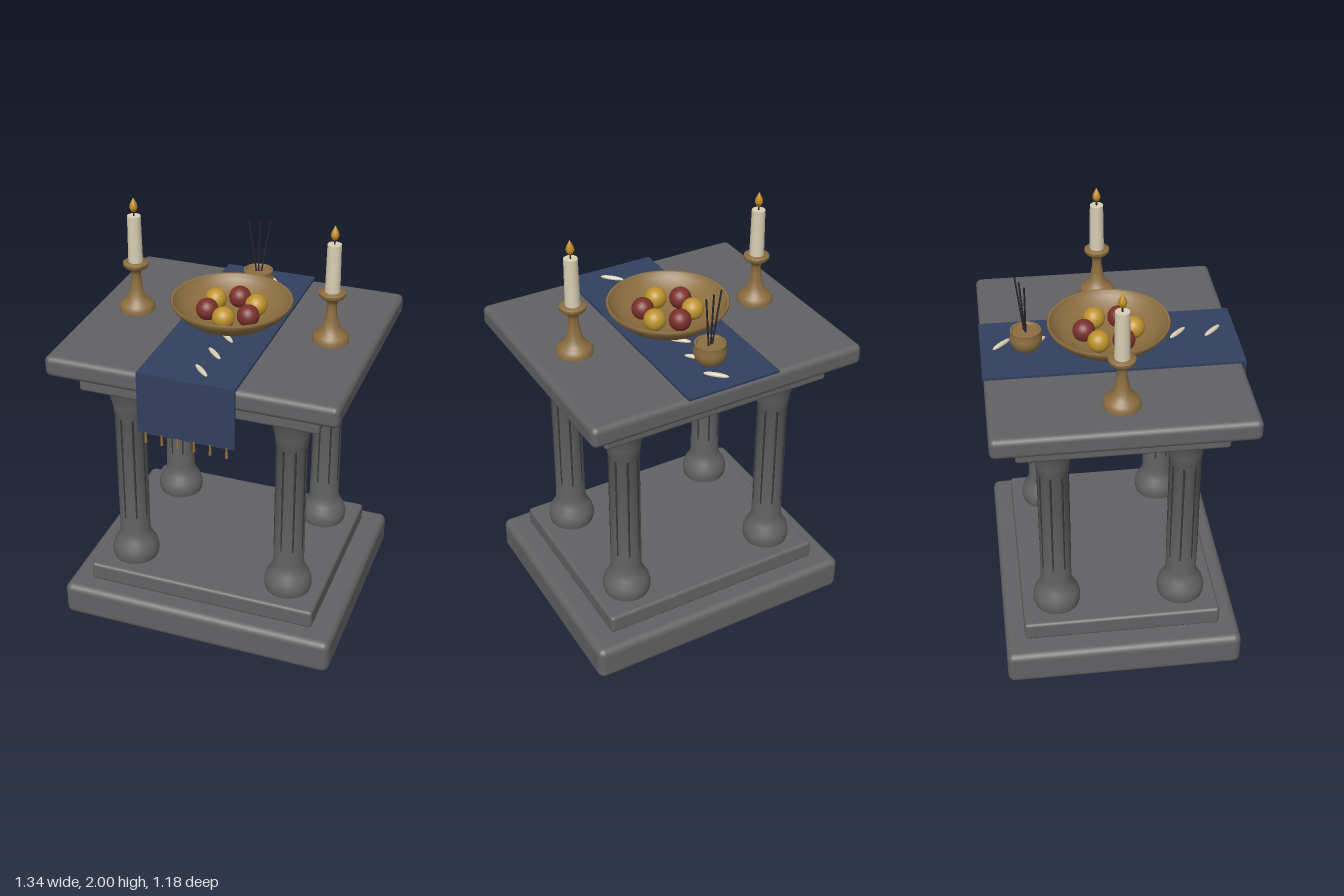
import * as THREE from 'three';
import { toCreasedNormals } from 'three/addons/utils/BufferGeometryUtils.js';
import { RoundedBoxGeometry } from 'three/addons/geometries/RoundedBoxGeometry.js';

const CENTER_Z = -0.008;

function material(name, color) {
  const m = new THREE.MeshStandardMaterial({ color });
  m.name = name;
  return m;
}

export function createModel() {
  const model = new THREE.Group();
  model.name = 'altar';

  const stone = material('stone grey', 0x626264);
  const groove = material('groove grey', 0x38383b);
  const cloth = material('navy cloth', 0x31405f);
  const bronze = material('bronze', 0x8c6e40);
  const wax = material('ivory wax', 0xd9ceb4);
  const flameGold = material('flame gold', 0xc08a22);
  const red = material('fruit red', 0x7a302b);
  const yellow = material('fruit yellow', 0xbd922c);
  const charcoal = material('charcoal', 0x26262b);

  function add(parent, name, geometry, mat, x = 0, y = 0, z = 0) {
    const mesh = new THREE.Mesh(geometry, mat);
    mesh.name = name;
    mesh.position.set(x, y, z);
    parent.add(mesh);
    return mesh;
  }
  function group(name, x, y, z) {
    const g = new THREE.Group();
    g.name = name;
    g.position.set(x, y, z);
    model.add(g);
    return g;
  }
  // Smooth turned form from [radius, height] pairs, with sharp edges kept
  function turned(points, segments = 32) {
    const lathe = new THREE.LatheGeometry(points.map(([r, y]) => new THREE.Vector2(r, y)), segments);
    return toCreasedNormals(lathe, 0.75);
  }
  // Straight rod between two points
  function rod(parent, name, from, to, radius, mat) {
    const a = new THREE.Vector3(...from), b = new THREE.Vector3(...to);
    const dir = b.clone().sub(a);
    const mesh = add(parent, name, new THREE.CylinderGeometry(radius, radius, dir.length(), 8), mat);
    mesh.position.copy(a).add(b).multiplyScalar(0.5);
    mesh.quaternion.setFromUnitVectors(new THREE.Vector3(0, 1, 0), dir.normalize());
  }

  // Stone slabs: name, width, bottom, top, depth, edge radius
  const slabs = [
    ['basePlinth', 1.34, 0, 0.172, 1.12, 0.035],
    ['upperPlinth', 1.12, 0.172, 0.265, 0.935, 0.016],
    ['topSupport', 1.12, 1.24, 1.35, 0.935, 0.014],
    ['tableTop', 1.34, 1.35, 1.45, 1.155, 0.028],
  ];
  for (const [name, w, y0, y1, d, r] of slabs) {
    add(model, name, new RoundedBoxGeometry(w, y1 - y0, d, 4, r), stone, 0, (y0 + y1) / 2, CENTER_Z);
  }

  // Small round relief on the front of the support
  const relief = add(model, 'frontRelief', new THREE.CylinderGeometry(0.045, 0.045, 0.02, 24), groove, 0, 1.285, 0.465);
  relief.rotation.x = Math.PI / 2;

  // Four fluted columns
  const columnShape = turned([
    [0, 0.26], [0.106, 0.26], [0.113, 0.285], [0.113, 0.31], [0.105, 0.34], [0.087, 0.37],
    [0.077, 0.395], [0.073, 0.42], [0.071, 1.07], [0.074, 1.075], [0.079, 1.12], [0.09, 1.165],
    [0.104, 1.2], [0.112, 1.225], [0.112, 1.245], [0, 1.245],
  ]);
  const fluteShape = new THREE.CylinderGeometry(0.007, 0.007, 0.55, 8);
  for (const x of [-0.392, 0.392]) {
    for (const z of [-0.3, 0.3]) {
      const column = group('column', x, 0, CENTER_Z + z);
      add(column, 'columnShaft', columnShape, stone);
      for (let i = 0; i < 8; i++) {
        const a = (i + 0.3) * Math.PI / 4;
        add(column, 'flute', fluteShape, groove, 0.067 * Math.cos(a), 0.785, 0.067 * Math.sin(a));
      }
    }
  }

  // Runner, front drop and tassels
  add(model, 'runnerTop', new THREE.BoxGeometry(0.448, 0.012, 1.168), cloth, 0, 1.456, -0.006);
  add(model, 'runnerDrop', new THREE.BoxGeometry(0.448, 0.297, 0.01), cloth, 0, 1.3135, 0.577);
  for (let i = 0; i < 6; i++) {
    add(model, 'tassel', new THREE.CylinderGeometry(0.005, 0.007, 0.05, 8), bronze, (i - 2.5) * 0.075, 1.145, 0.582);
  }

  // Petals scattered in a line along the runner
  for (let i = 0; i < 7; i++) {
    const petal = add(model, 'petal', new THREE.SphereGeometry(1, 16, 10), wax, 0.035, 1.466, 0.474 - i * 0.161);
    petal.scale.set(0.058, 0.011, 0.012);
    petal.rotation.y = -Math.PI / 4;
  }

  // Offering bowl with a hollow inside
  const bowl = group('offeringBowl', 0, 1.46, CENTER_Z);
  add(bowl, 'bowl', turned([
    [0, 0], [0.11, 0], [0.16, 0.012], [0.21, 0.036], [0.25, 0.07], [0.275, 0.1], [0.279, 0.11],
    [0.276, 0.118], [0.268, 0.116], [0.255, 0.092], [0.21, 0.055], [0.15, 0.033], [0.08, 0.022], [0, 0.02],
  ], 48), bronze);

  // Ring of alternating fruit
  for (let i = 0; i < 6; i++) {
    const a = i * Math.PI / 3;
    add(bowl, 'fruit', new THREE.SphereGeometry(0.051, 24, 16), i % 2 ? yellow : red,
      0.113 * Math.sin(a), 0.074, -0.113 * Math.cos(a));
  }

  // Candlesticks
  const holderShape = turned([
    [0, 0], [0.083, 0], [0.083, 0.018], [0.074, 0.034], [0.052, 0.05], [0.038, 0.075], [0.029, 0.11],
    [0.023, 0.15], [0.022, 0.18], [0.029, 0.2], [0.05, 0.212], [0.059, 0.223], [0.059, 0.235],
    [0.052, 0.24], [0, 0.24],
  ]);
  const flameShape = turned([
    [0, 0], [0.012, 0.008], [0.019, 0.024], [0.016, 0.04], [0.007, 0.058], [0, 0.072],
  ], 20);
  for (const x of [-0.468, 0.468]) {
    const stick = group('candlestick', x, 1.45, CENTER_Z);
    add(stick, 'holder', holderShape, bronze);
    add(stick, 'candle', new THREE.CylinderGeometry(0.031, 0.034, 0.225, 24), wax, 0, 0.35, 0);
    add(stick, 'wick', new THREE.CylinderGeometry(0.004, 0.004, 0.03, 8), charcoal, 0, 0.472, 0);
    add(stick, 'flame', flameShape, flameGold, 0, 0.478, 0);
  }

  // Incense pot with three sticks
  const pot = group('incensePot', 0, 1.46, -0.382);
  add(pot, 'pot', turned([
    [0, 0], [0.045, 0], [0.064, 0.018], [0.073, 0.045], [0.074, 0.065], [0.068, 0.085],
    [0.07, 0.098], [0.062, 0.098], [0.058, 0.09], [0, 0.09],
  ]), bronze);
  for (const [x0, z0, x1, z1] of [[-0.008, 0, -0.049, 0], [0, -0.002, 0, -0.02], [0.012, -0.006, 0.047, -0.036]]) {
    rod(pot, 'incenseStick', [x0, 0.08, z0], [x1, 0.342, z1], 0.004, charcoal);
  }

  return model;
}
